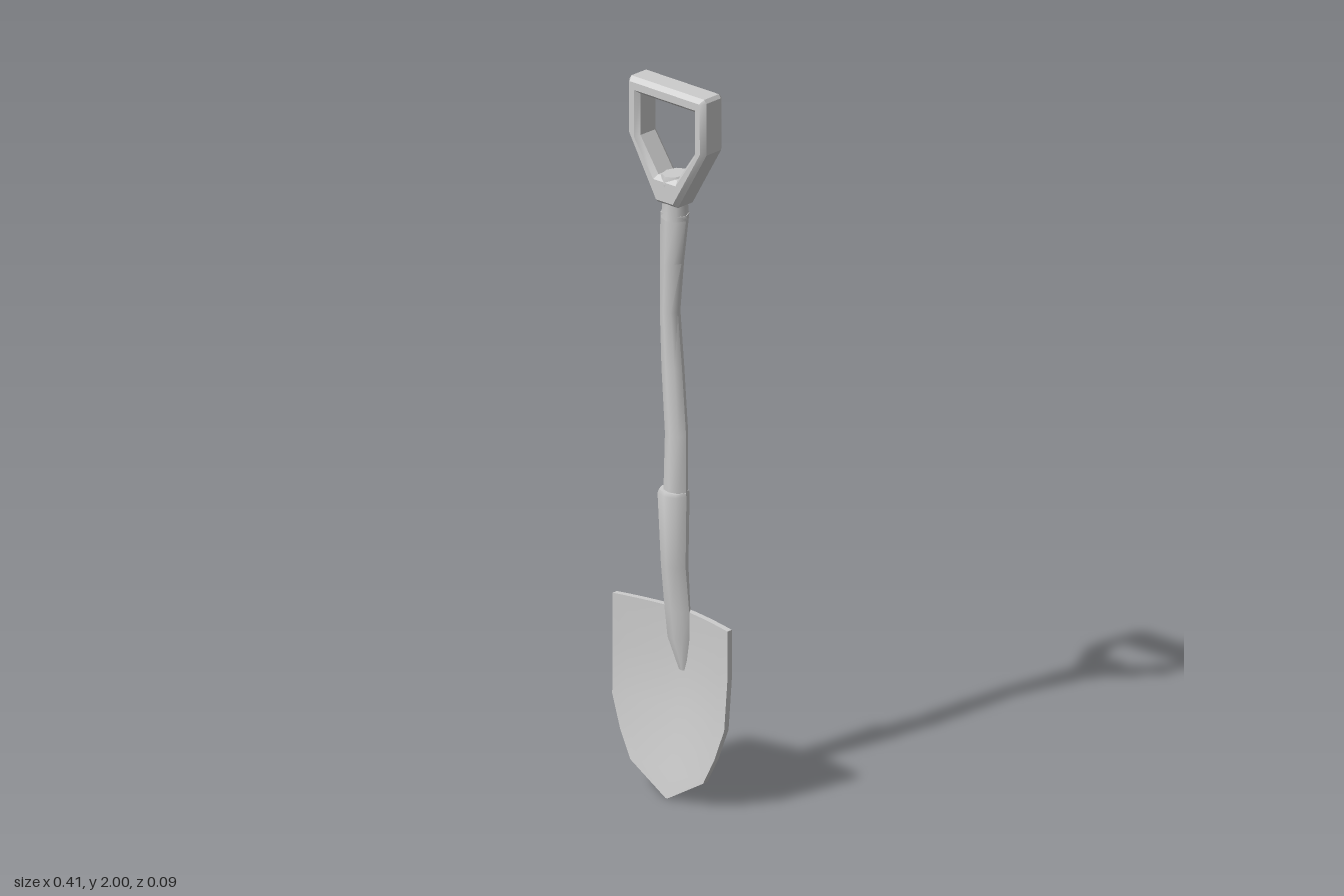
import * as THREE from 'three';
import { toCreasedNormals } from 'three/addons/utils/BufferGeometryUtils.js';

const grey = new THREE.MeshStandardMaterial({ color: 0xcccccc });
grey.name = 'plain grey';

function part(name, geometry, crease) {
  const mesh = new THREE.Mesh(toCreasedNormals(geometry, crease), grey);
  mesh.name = name;
  return mesh;
}

// Eight-sided tube through rings [y, centreX, centreZ, radiusX, radiusZ], bottom to top
function loft(name, rings) {
  const steps = rings.length - 1;
  const geometry = new THREE.CylinderGeometry(1, 1, 1, 8, steps);
  const p = geometry.attributes.position;
  for (let i = 0; i < p.count; i++) {
    const [y, cx, cz, rx, rz] = rings[Math.round((p.getY(i) + 0.5) * steps)];
    p.setXYZ(i, cx + p.getX(i) * rx, y, cz + p.getZ(i) * rz);
  }
  return part(name, geometry, 0.9);
}

// Dished plate from rows [y, halfWidth, edgeZ, centreZ], bottom to top
function dishedBlade() {
  const rows = [
    [0, 0.004, 0.034, 0.034],
    [0.075, 0.13, 0.033, 0.02],
    [0.15, 0.168, 0.031, 0.008],
    [0.24, 0.2, 0.027, -0.006],
    [0.38, 0.205, 0.02, -0.018],
    [0.52, 0.205, 0.02, -0.015],
  ];
  const steps = rows.length - 1;
  const thickness = 0.017;
  const geometry = new THREE.BoxGeometry(2, 1, 1, 10, steps, 1);
  const p = geometry.attributes.position;
  for (let i = 0; i < p.count; i++) {
    const u = p.getX(i);
    const [y, w, edge, centre] = rows[Math.round((p.getY(i) + 0.5) * steps)];
    const front = centre + (edge - centre) * Math.pow(Math.abs(u), 1.5);
    p.setXYZ(i, u * w, y, p.getZ(i) > 0 ? front : front - thickness);
  }
  return part('blade', geometry, 0.7);
}

// Mirror the right half of an outline onto the left
function mirrored(half) {
  const left = half.map(([x, y]) => [-x, y]).reverse();
  return [...half, ...left].map(([x, y]) => new THREE.Vector2(x, y));
}

// D-shaped grip with chamfered edges
function gripFrame() {
  const shape = new THREE.Shape(mirrored([
    [0.036, 1.67], [0.138, 1.845], [0.137, 1.99], [0.13, 2],
  ]));
  shape.holes.push(new THREE.Path(mirrored([
    [0.034, 1.747], [0.098, 1.84], [0.098, 1.957],
  ])));
  const geometry = new THREE.ExtrudeGeometry(shape, {
    depth: 0.056, bevelEnabled: true, bevelSegments: 1,
    bevelThickness: 0.014, bevelSize: 0.011, bevelOffset: -0.011,
  });
  geometry.translate(0, 0, -0.028);
  return part('gripFrame', geometry, 0.5);
}

export function createModel() {
  const model = new THREE.Group();
  model.name = 'shovel';
  model.add(dishedBlade());

  // Metal socket running down onto the blade
  model.add(loft('socket', [
    [0.35, 0.01, -0.02, 0.014, 0.008],
    [0.44, 0, -0.014, 0.038, 0.021],
    [0.52, -0.001, -0.01, 0.042, 0.025],
    [0.65, -0.001, 0.001, 0.039, 0.033],
    [0.85, -0.004, 0.002, 0.046, 0.038],
    [0.86, -0.003, 0.002, 0.043, 0.035],
  ]));

  // Slightly crooked wooden shaft
  model.add(loft('shaft', [
    [0.84, 0.002, 0, 0.037, 0.028],
    [1.02, 0.004, -0.001, 0.034, 0.027],
    [1.2, -0.01, -0.002, 0.033, 0.027],
    [1.36, -0.02, -0.002, 0.028, 0.026],
    [1.5, -0.013, -0.002, 0.034, 0.029],
    [1.64, -0.003, -0.002, 0.042, 0.034],
  ]));

  // Collar joining shaft and grip
  model.add(loft('gripCollar', [
    [1.625, -0.001, -0.001, 0.039, 0.035],
    [1.67, 0, 0, 0.035, 0.032],
    [1.69, 0, 0, 0.038, 0.034],
    [1.73, 0, 0, 0.042, 0.044],
    [1.752, 0, 0, 0.031, 0.04],
  ]));
  model.add(gripFrame());
  return model;
}
